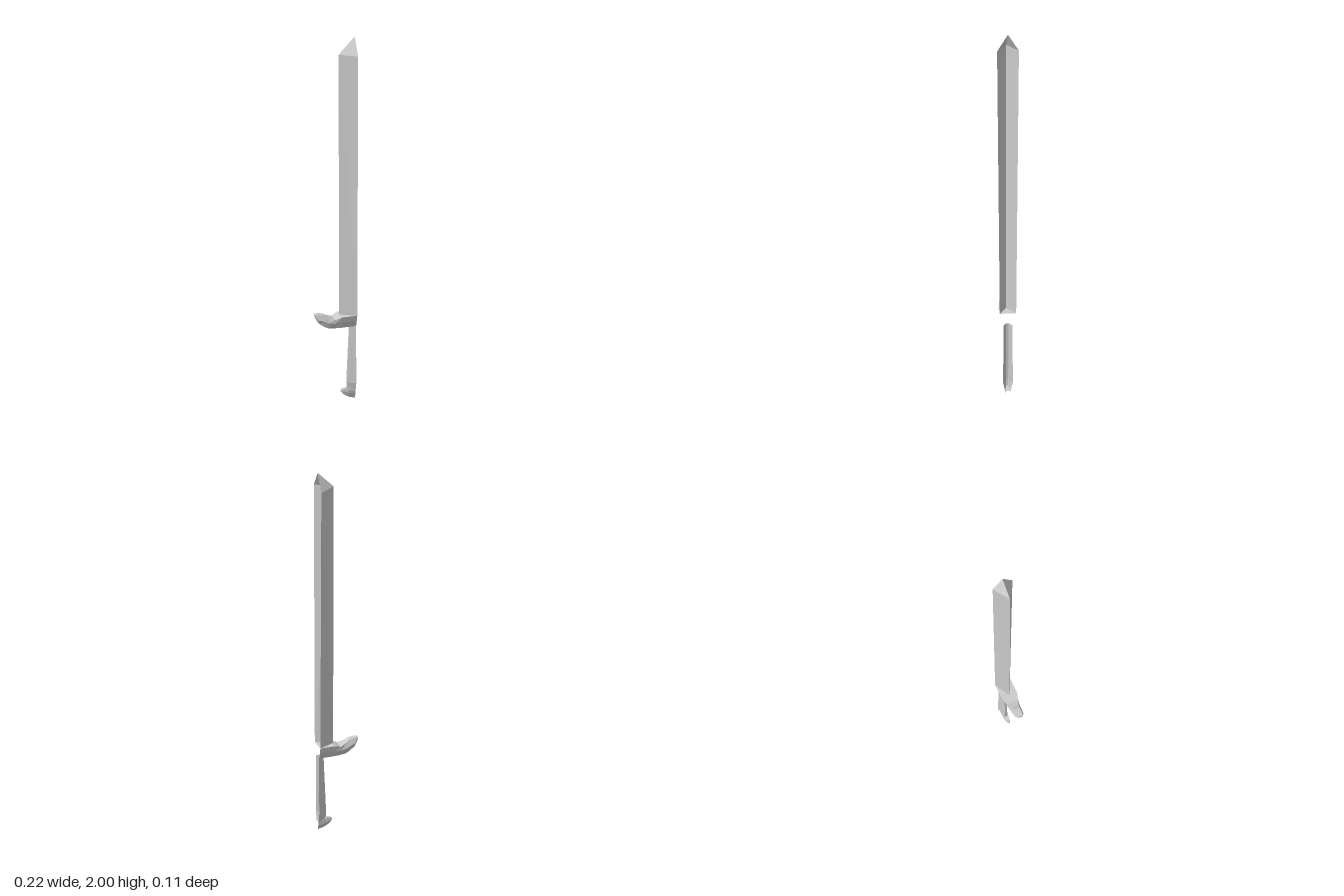
import * as THREE from 'three';

// Plane where the half-sword is cut open
const CUT = 0.107;

// Skin a run of cross-sections (arrays of [x, y, z]) with flat-shaded quads
function loft(name, rings, { closed = false, cap = false, side = THREE.FrontSide } = {}) {
  const pos = [];
  const n = rings[0].length;
  const tri = (a, b, c) => pos.push(...a, ...b, ...c);
  for (let i = 0; i < rings.length - 1; i++) {
    const r = rings[i], s = rings[i + 1];
    for (let j = 0; j < (closed ? n : n - 1); j++) {
      const k = (j + 1) % n;
      tri(r[j], s[j], s[k]);
      tri(r[j], s[k], r[k]);
    }
  }
  if (cap) {
    const e = rings[rings.length - 1];
    for (let j = 1; j < n - 1; j++) tri(e[0], e[j + 1], e[j]);
  }
  const geo = new THREE.BufferGeometry();
  geo.setAttribute('position', new THREE.Float32BufferAttribute(pos, 3));
  geo.computeVertexNormals();
  const mesh = new THREE.Mesh(geo, new THREE.MeshStandardMaterial({ color: 0xcccccc, flatShading: true, side }));
  mesh.name = name;
  return mesh;
}

// Six-sided section at x: height and half-width of its top, middle and bottom
const hexRing = ([x, yt, t, ym, m, yb, b]) => [
  [x, yt, -t], [x, yt, t], [x, ym, m], [x, yb, b], [x, yb, -b], [x, ym, -m],
];

export function createModel() {
  const group = new THREE.Group();
  group.name = 'halfSword';

  // Blade: open V section, flaring upward, closing to a point [y, edge x, half-width]
  const blade = [[0.47, 0.023, 0.042], [1.91, 0.02, 0.056], [2, CUT, 0]].map(
    ([y, x, w]) => [[CUT, y, w], [x, y, 0], [CUT, y, -w]]);
  group.add(loft('blade', blade, { side: THREE.DoubleSide }));

  // Grip: open channel with a narrow flat edge [y, edge x, half-width, flat half-width]
  const grip = [[0.04, 0.067, 0.013, 0.004], [0.09, 0.063, 0.025, 0.006], [0.405, 0.077, 0.023, 0.006]].map(
    ([y, x, w, f]) => [[CUT, y, w], [x, y, f], [x, y, -f], [CUT, y, -w]]);
  group.add(loft('grip', grip, { side: THREE.DoubleSide }));

  // Crossguard: deep block under the blade, sweeping out to an upturned arm
  const guard = [
    [CUT, 0.47, 0.042, 0.44, 0.034, 0.405, 0.022],
    [0.025, 0.47, 0.042, 0.44, 0.034, 0.405, 0.022],
    [-0.008, 0.456, 0.032, 0.435, 0.031, 0.405, 0.018],
    [-0.04, 0.468, 0.02, 0.44, 0.028, 0.408, 0.016],
    [-0.06, 0.482, 0.015, 0.45, 0.026, 0.418, 0.014],
    [-0.09, 0.487, 0.014, 0.46, 0.023, 0.44, 0.012],
    [-0.108, 0.487, 0.013, 0.481, 0.013, 0.475, 0.011],
  ].map(hexRing);
  group.add(loft('crossguard', guard, { closed: true, cap: true }));

  // Pommel: small curl at the foot of the grip
  const pommel = [
    [CUT, 0.045, 0.013, 0.025, 0.01, 0, 0.003],
    [0.075, 0.055, 0.014, 0.032, 0.012, 0.01, 0.005],
    [0.06, 0.06, 0.01, 0.04, 0.012, 0.018, 0.006],
    [0.042, 0.058, 0.008, 0.045, 0.01, 0.03, 0.006],
    [0.031, 0.052, 0.005, 0.047, 0.006, 0.043, 0.004],
  ].map(hexRing);
  group.add(loft('pommel', pommel, { closed: true, cap: true }));

  return group;
}
